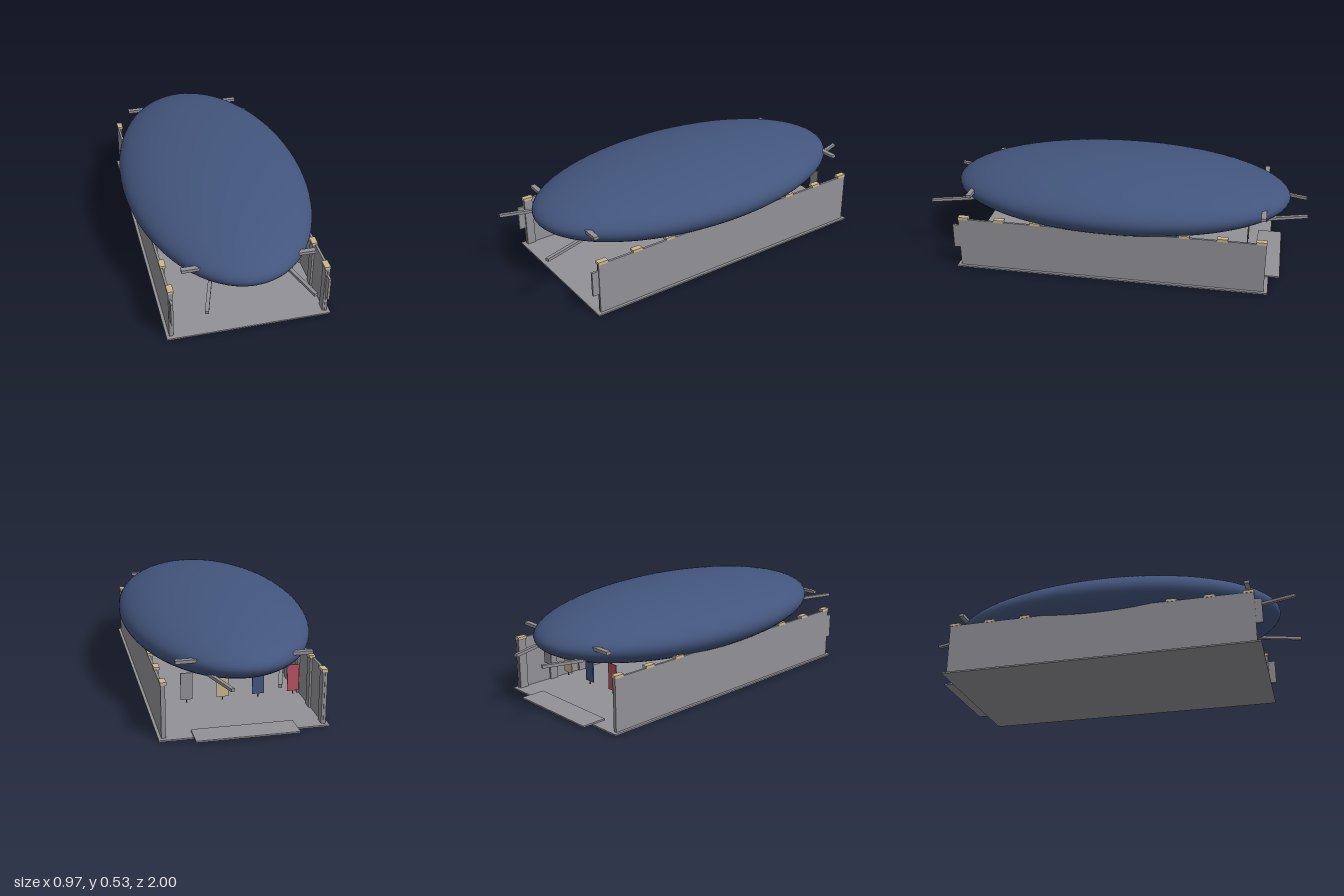
import * as THREE from 'three';

export function createModel() {
  const model = new THREE.Group();
  const mat = (name, color) => {
    const m = new THREE.MeshStandardMaterial({ color });
    m.name = name;
    return m;
  };
  const grey = mat('concrete grey', 0x919196);
  const blue = mat('slate blue', 0x43557d);
  const cream = mat('cream', 0xc9b78f);
  const red = mat('crimson', 0xb8505f);
  const dark = mat('dark metal', 0x4a4a4e);

  const add = (name, geometry, material, x, y, z) => {
    const mesh = new THREE.Mesh(geometry, material);
    mesh.name = name;
    mesh.position.set(x, y, z);
    model.add(mesh);
    return mesh;
  };
  const box = (name, material, w, h, d, x, y, z) =>
    add(name, new THREE.BoxGeometry(w, h, d), material, x, y, z);

  // horizontal square bar between two points in plan
  const bar = (name, x0, z0, x1, z1, y) => {
    const length = Math.hypot(x1 - x0, z1 - z0);
    const mesh = box(name, grey, 0.018, 0.015, length, (x0 + x1) / 2, y, (z0 + z1) / 2);
    mesh.rotation.y = Math.atan2(x1 - x0, z1 - z0);
  };

  // floor slab and rear entrance ramp
  box('floor', grey, 0.834, 0.008, 1.64, 0, 0.004, 0);
  box('ramp', grey, 0.504, 0.008, 0.13, 0, 0.012, -0.812);

  // shallow ellipsoid roof
  const roof = add('roof', new THREE.SphereGeometry(1, 72, 40), blue, 0, 0.358, 0);
  roof.scale.set(0.486, 0.172, 0.905);

  for (const s of [-1, 1]) {
    // side wall with a fin on its front end
    box('wall', grey, 0.012, 0.27, 1.6, s * 0.396, 0.143, 0);
    box('wallFin', grey, 0.012, 0.13, 0.035, s * 0.391, 0.175, 0.817);

    // inner posts with cream bearing pads
    for (let i = -4; i <= 4; i++) {
      const z = i * 0.1935;
      box('post', grey, 0.012, 0.27, 0.046, s * 0.386, 0.143, z);
      box('bearingPad', cream, 0.03, 0.014, 0.054, s * 0.389, 0.282, z);
    }

    // splayed struts at both ends of the roof
    bar('frontStrut', s * 0.185, 0.75, s * 0.26, 0.994, 0.305);
    bar('rearStrut', s * 0.176, -0.78, s * 0.108, -0.996, 0.308);

    // short cross beams through the roof shell
    for (const z of [0.763, -0.775]) {
      box('crossBeam', grey, 0.155, 0.016, 0.026, s * 0.2525, 0.376, z);
    }
  }

  // hanging banners with small weights
  [red, blue, cream, grey].forEach((material, i) => {
    const x = -0.2625 + i * 0.175;
    box('banner', material, 0.058, 0.135, 0.005, x, 0.2195, -0.7);
    add('bannerWeight', new THREE.CylinderGeometry(0.002, 0.004, 0.015, 8), dark, x, 0.1445, -0.7);
  });

  return model;
}
